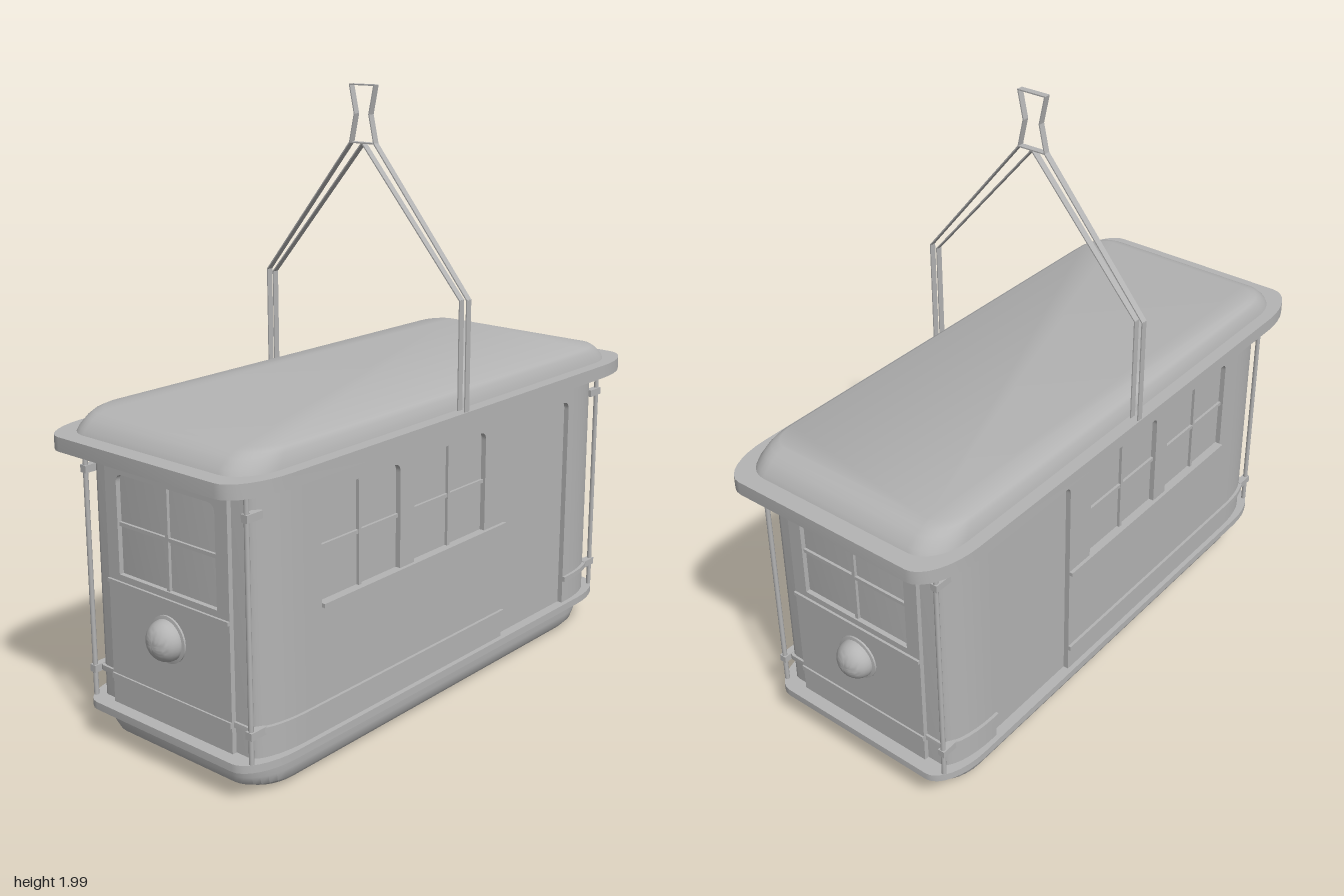
import * as THREE from 'three';
import { toCreasedNormals, mergeGeometries } from 'three/addons/utils/BufferGeometryUtils.js';

const grey = new THREE.MeshStandardMaterial({ color: 0xb4b4b4 });
grey.name = 'plain grey';

// Plan outline with elliptical corners; optional flat cut at x0 instead of the left end
function plan(hx, hz, rx, rz, x0 = null, steps = 8) {
  const pts = [];
  const arc = (cx, cz, a0) => {
    for (let i = 0; i <= steps; i++) {
      const a = a0 + (i / steps) * Math.PI / 2;
      pts.push(new THREE.Vector2(cx + rx * Math.cos(a), cz + rz * Math.sin(a)));
    }
  };
  arc(hx - rx, hz - rz, 0);
  if (x0 === null) {
    arc(-hx + rx, hz - rz, Math.PI / 2);
    arc(-hx + rx, -hz + rz, Math.PI);
  } else {
    pts.push(new THREE.Vector2(x0, hz), new THREE.Vector2(x0, -hz));
  }
  arc(hx - rx, -hz + rz, Math.PI * 1.5);
  return pts;
}

// Horizontal slab from a plan outline
function slab(pts, y0, y1) {
  const g = new THREE.ExtrudeGeometry(new THREE.Shape(pts), { depth: y1 - y0, bevelEnabled: false });
  g.rotateX(-Math.PI / 2).translate(0, y0, 0);
  return toCreasedNormals(g, 0.6);
}

// Closed body through plan outlines, listed from bottom to top as [y, hx, hz, rx, rz]
function loft(rings) {
  const pos = [], idx = [];
  const outlines = rings.map(([y, ...p]) => plan(...p).map(v => [v.x, y, -v.y]));
  const n = outlines[0].length;
  outlines.forEach(o => o.forEach(p => pos.push(...p)));
  for (let r = 0; r < rings.length - 1; r++) {
    for (let i = 0; i < n; i++) {
      const a = r * n + i, b = r * n + (i + 1) % n;
      idx.push(a, b, b + n, a, b + n, a + n);
    }
  }
  const top = (rings.length - 1) * n;
  for (let i = 1; i < n - 1; i++) idx.push(0, i + 1, i, top, top + i, top + i + 1);
  const g = new THREE.BufferGeometry();
  g.setAttribute('position', new THREE.Float32BufferAttribute(pos, 3));
  g.setIndex(idx);
  return toCreasedNormals(g, 0.6);
}

// Opening with rounded top corners
function opening(x0, x1, y0, y1, r = 0.03) {
  const p = new THREE.Path();
  p.moveTo(x0, y0);
  p.lineTo(x1, y0);
  p.lineTo(x1, y1 - r);
  p.quadraticCurveTo(x1, y1, x1 - r, y1);
  p.lineTo(x0 + r, y1);
  p.quadraticCurveTo(x0, y1, x0, y1 - r);
  p.closePath();
  return p;
}

function rect(x0, x1, y0, y1) {
  return new THREE.Shape([[x0, y0], [x1, y0], [x1, y1], [x0, y1]].map(p => new THREE.Vector2(...p)));
}

function box(x0, x1, y0, y1, z0, z1) {
  return new THREE.BoxGeometry(x1 - x0, y1 - y0, z1 - z0)
    .translate((x0 + x1) / 2, (y0 + y1) / 2, (z0 + z1) / 2);
}

// Cross-shaped glazing bars inside an opening
function bars(x0, x1, y0, y1, z0, z1) {
  const cx = (x0 + x1) / 2, cy = (y0 + y1) / 2, t = 0.006;
  return mergeGeometries([box(cx - t, cx + t, y0, y1, z0, z1), box(x0, x1, cy - t, cy + t, z0, z1 - 0.001)]);
}

export function createModel() {
  const model = new THREE.Group();
  model.name = 'tramCar';
  const add = (name, geometry, parent = model) => {
    const m = new THREE.Mesh(geometry, grey);
    m.name = name;
    parent.add(m);
    return m;
  };
  const FLOOR = 0.13, EAVES = 0.965;

  // Chassis, floor lip and roof
  add('chassis', loft([
    [0, 0.78, 0.3, 0.1, 0.08], [0.012, 0.83, 0.325, 0.12, 0.09],
    [0.03, 0.865, 0.34, 0.14, 0.1], [0.06, 0.88, 0.347, 0.15, 0.1], [0.115, 0.88, 0.347, 0.15, 0.1]]));
  add('floorLip', slab(plan(0.93, 0.387, 0.18, 0.09), 0.11, 0.135));
  add('roofEaves', slab(plan(1, 0.428, 0.2, 0.1), 0.96, 1.005));
  add('roofCap', loft([
    [1, 0.945, 0.387, 0.14, 0.1], [1.02, 0.935, 0.383, 0.14, 0.1],
    [1.045, 0.905, 0.374, 0.13, 0.09], [1.058, 0.88, 0.366, 0.12, 0.08], [1.066, 0.85, 0.352, 0.1, 0.07]]));

  // Inner core and rounded ends of the cabin
  add('cabinCore', box(-0.7, 0.7, FLOOR, EAVES, -0.352, 0.352));
  for (const s of [1, -1]) {
    const end = plan(0.872, 0.37, 0.18, 0.06, 0.69).map(v => new THREE.Vector2(s * v.x, v.y));
    add('cabinEnd', slab(end, FLOOR, EAVES));
    const belt = plan(0.88, 0.38, 0.18, 0.06, s > 0 ? 0.67 : -0.29).map(v => new THREE.Vector2(s * v.x, v.y));
    add('beltRail', slab(belt, 0.217, 0.235));
  }

  // Long sides: skin with two windows and a doorway, the same on front and back
  const windows = [[-0.62, -0.26], [-0.19, 0.18]];
  for (const s of [1, -1]) {
    const side = new THREE.Group();
    side.name = s > 0 ? 'frontSide' : 'backSide';
    model.add(side);
    const skin = rect(-0.69, 0.69, FLOOR, EAVES);
    skin.holes.push(opening(0.29, 0.67, FLOOR + 0.004, 0.89));
    windows.forEach(([a, b]) => skin.holes.push(opening(a, b, 0.55, 0.89)));
    const place = (name, g) => {
      // the back is a mirror image in z, so its triangles are turned over
      if (s < 0) {
        g = g.index ? g.toNonIndexed() : g;
        g.scale(1, 1, -1);
        for (const attr of Object.values(g.attributes)) {
          const k = attr.itemSize, a = attr.array;
          for (let i = 0; i < attr.count; i += 3) {
            for (let j = 0; j < k; j++) {
              const p = (i + 1) * k + j, q = (i + 2) * k + j;
              [a[p], a[q]] = [a[q], a[p]];
            }
          }
        }
        g.computeVertexNormals();
      }
      add(name, g, side);
    };
    place('sideSkin', new THREE.ExtrudeGeometry(skin, { depth: 0.02, bevelEnabled: false }).translate(0, 0, 0.35));
    windows.forEach(([a, b]) => place('glazingBars', bars(a, b, 0.55, 0.89, 0.35, 0.362)));
    place('windowSill', box(-0.62, 0.29, 0.537, 0.55, 0.36, 0.382));
  }

  // Cab ends: framed window, ledge, lamp and handrails
  for (const s of [1, -1]) {
    const cab = new THREE.Group();
    cab.name = s > 0 ? 'leftCabEnd' : 'rightCabEnd';
    cab.rotation.y = s * Math.PI / 2;
    model.add(cab);
    const panel = rect(-0.26, 0.26, FLOOR, EAVES);
    panel.holes.push(opening(-0.21, 0.21, 0.57, 0.89));
    add('endPanel', new THREE.ExtrudeGeometry(panel, { depth: 0.018, bevelEnabled: false }).translate(0, 0, 0.87), cab);
    add('endGlazingBars', bars(-0.21, 0.21, 0.57, 0.89, 0.87, 0.882), cab);
    add('endLedge', box(-0.26, 0.26, 0.537, 0.549, 0.87, 0.896), cab);
    add('endBelt', box(-0.26, 0.26, 0.217, 0.235, 0.87, 0.894), cab);

    const profile = [new THREE.Vector2(0.075, 0), new THREE.Vector2(0.075, 0.008), new THREE.Vector2(0.065, 0.01)];
    for (let i = 1; i <= 10; i++) {
      const a = i / 10 * Math.PI / 2;
      profile.push(new THREE.Vector2(0.065 * Math.cos(a), 0.012 + 0.057 * Math.sin(a)));
    }
    const lamp = toCreasedNormals(new THREE.LatheGeometry(profile, 28), 0.6);
    add('headlamp', lamp.rotateX(Math.PI / 2).translate(0, 0.42, 0.886), cab);

    for (const side of [1, -1]) {
      const x = side * 0.342;
      add('handrail', new THREE.CylinderGeometry(0.008, 0.008, EAVES - FLOOR, 10)
        .translate(x, (EAVES + FLOOR) / 2, 0.893), cab);
      for (const y of [0.225, 0.88]) {
        add('railBracket', box(x - 0.012, x + 0.012, y - 0.012, y + 0.012, 0.84, 0.903), cab);
      }
    }
  }

  // Current collector: thin metal ribbons bent in the side plane, as [z, y] paths
  const collector = new THREE.Group();
  collector.name = 'currentCollector';
  model.add(collector);
  const ribbon = (name, path) => {
    const parts = [];
    for (let i = 0; i < path.length - 1; i++) {
      const [z0, y0] = path[i], [z1, y1] = path[i + 1];
      parts.push(new THREE.BoxGeometry(0.022, 0.004, Math.hypot(z1 - z0, y1 - y0) + 0.003)
        .rotateX(-Math.atan2(y1 - y0, z1 - z0))
        .translate(0, (y0 + y1) / 2, (z0 + z1) / 2));
    }
    add(name, mergeGeometries(parts), collector);
  };
  for (const s of [1, -1]) {
    ribbon('outerArm', [[s * 0.422, 1], [s * 0.422, 1.36], [s * 0.05, 1.81]]);
    ribbon('innerArm', [[s * 0.395, 1], [s * 0.395, 1.355], [0, 1.81]]);
    ribbon('hornSide', [[s * 0.05, 1.81], [s * 0.03, 1.9], [s * 0.05, 1.99]]);
  }
  ribbon('hornBase', [[-0.05, 1.81], [0.05, 1.81]]);
  ribbon('contactBar', [[-0.05, 1.99], [0.05, 1.99]]);

  return model;
}
